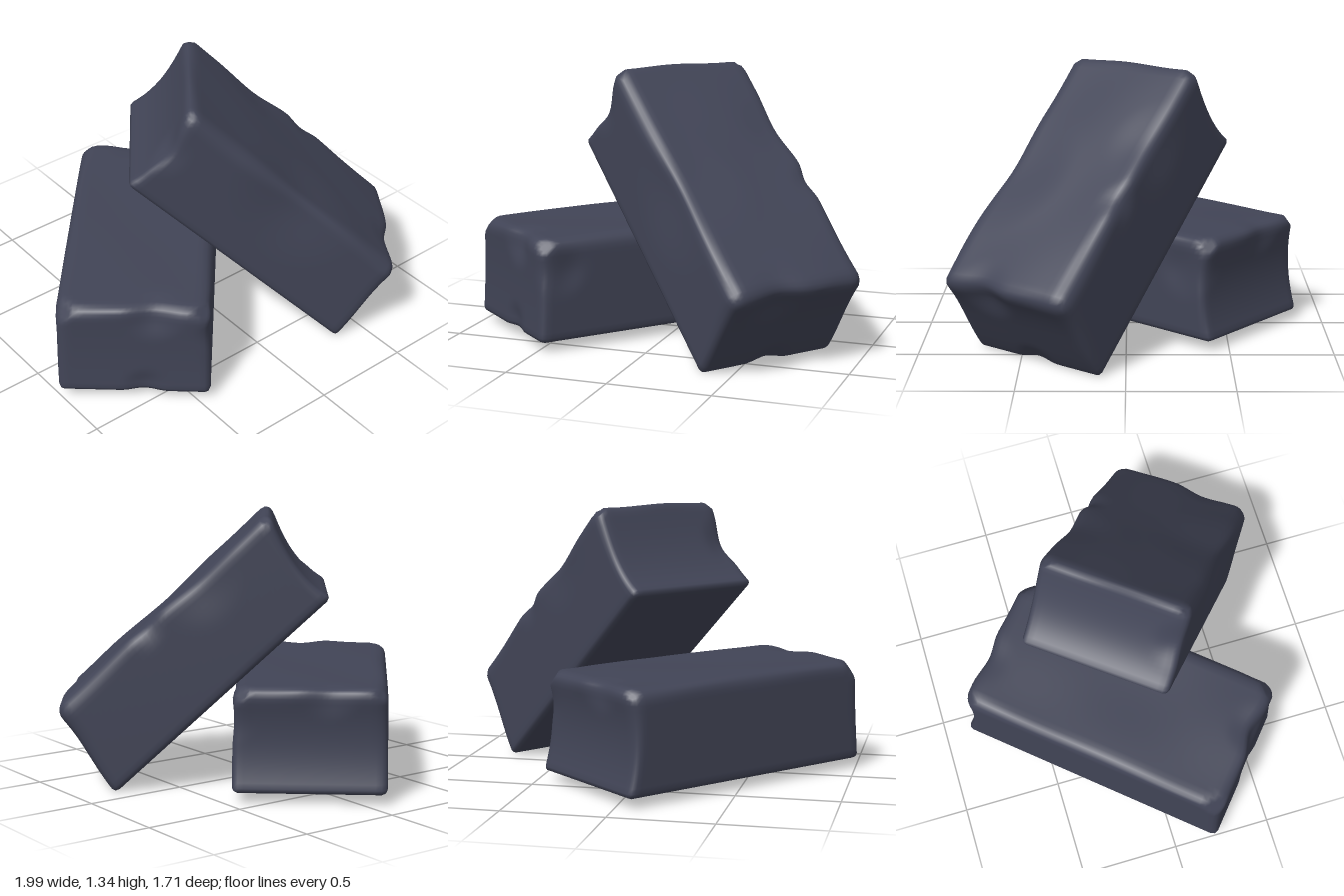
import * as THREE from 'three';
import { mergeVertices } from 'three/addons/utils/BufferGeometryUtils.js';

const stone = new THREE.MeshStandardMaterial({ color: 0x414456 });

// A worn stone block: rounded box, hollowed ends, chipped edges and shallow dents.
// skew: how far the top slides towards -z
// chips: [nx, ny, nz, depth] planes cutting in from the corner or edge they face
// dents: [x, y, z, radius, depth] soft hollows
function wornBlock(name, size, seed, skew, chips, dents) {
  const half = new THREE.Vector3(...size).multiplyScalar(0.5);
  let geo = new THREE.BoxGeometry(...size, 26, 20, 48);
  geo.deleteAttribute('normal');
  geo.deleteAttribute('uv');
  geo = mergeVertices(geo);

  const planes = chips.map(([x, y, z, depth]) => {
    const n = new THREE.Vector3(x, y, z).normalize();
    const reach = Math.abs(n.x) * half.x + Math.abs(n.y) * half.y + Math.abs(n.z) * half.z;
    return { n, d: reach - depth };
  });
  const hollows = dents.map(([x, y, z, radius, depth]) => ({ c: new THREE.Vector3(x, y, z), radius, depth }));

  const pos = geo.attributes.position;
  const p = new THREE.Vector3(), inner = new THREE.Vector3(), limit = new THREE.Vector3();
  for (let i = 0; i < pos.count; i++) {
    p.fromBufferAttribute(pos, i);

    // Rounded edges: crisp below, more worn above, uneven along the length
    const up = THREE.MathUtils.smoothstep(p.y, -half.y, half.y);
    const wave = Math.sin(p.z * 7 + seed) + Math.sin(p.x * 11 + p.z * 4 + seed * 2);
    const r = 0.028 + up * (0.03 + 0.01 * wave);
    limit.copy(half).subScalar(r);
    inner.copy(p).clamp(limit.clone().negate(), limit);
    p.sub(inner).setLength(r).add(inner);

    // Ends hollowed at mid height
    const end = Math.pow(Math.abs(p.z) / half.z, 6);
    const mid = Math.max(0, 1 - (p.y / half.y) ** 2);
    p.z -= Math.sign(p.z) * end * mid * (p.z < 0 ? 0.045 : 0.01);

    // Slight unevenness of the upper faces
    p.y -= 0.004 * up * (1 + Math.sin(p.x * 9 + seed) * Math.sin(p.z * 6 + seed));

    for (const { c, radius, depth } of hollows) {
      const t = 1 - p.distanceTo(c) / radius;
      if (t > 0) p.addScaledVector(p.clone().normalize(), -depth * t * t * (3 - 2 * t));
    }
    for (const { n, d } of planes) {
      const over = p.dot(n) - d;
      if (over > 0) p.addScaledVector(n, -over);
    }
    p.z -= skew * up;
    pos.setXYZ(i, p.x, p.y, p.z);
  }
  geo.computeVertexNormals();
  const mesh = new THREE.Mesh(geo, stone);
  mesh.name = name;
  mesh.rotation.order = 'YXZ';
  return mesh;
}

export function createModel() {
  const group = new THREE.Group();
  group.name = 'stoneBlocks';

  // Block lying flat
  const flat = wornBlock('flatBlock', [0.735, 0.51, 1.44], 1, 0,
    [[-1, 1, 1, 0.08], [1, 1.2, 1, 0.07], [-0.2, 1, 1, 0.05], [1, 0.1, -1, 0.05],
      [-1, 1, -1, 0.07], [1, 1, -1.2, 0.08], [-1, 0.1, -1, 0.03]],
    [[0.36, 0.1, 0.6, 0.15, 0.03], [0.1, 0.22, 0.7, 0.16, 0.035], [0.36, 0.1, -0.55, 0.18, 0.03],
      [0.05, -0.22, 0.7, 0.12, 0.02], [-0.1, 0.25, -0.7, 0.16, 0.025]]);
  flat.position.set(-0.27, 0.292, -0.095);
  flat.rotation.y = -0.71;

  // Block leaning across it, one end on the ground
  const leaning = wornBlock('leaningBlock', [0.755, 0.51, 1.42], 4, 0.055,
    [[0, 1, 1, 0.025], [1, 1, 1, 0.06], [-1, 1.1, 1, 0.06], [-1, 1, 0.1, 0.045],
      [1, 1, 0.05, 0.03], [-1, 1, -1, 0.06], [1, 1, -1, 0.06], [-1, 0.1, 1, 0.03]],
    [[-0.37, 0.25, 0.05, 0.4, 0.03], [0.37, 0.25, 0.1, 0.12, 0.02], [-0.12, 0.2, 0.7, 0.18, 0.03],
      [0.0, -0.25, 0.7, 0.13, 0.02], [-0.37, 0.02, -0.69, 0.16, 0.03], [0.37, 0.25, -0.25, 0.25, 0.02]]);
  leaning.position.set(0.296, 0.647, 0.2);
  leaning.rotation.set(0.743, 0.92, 0);

  group.add(flat, leaning);
  return group;
}
